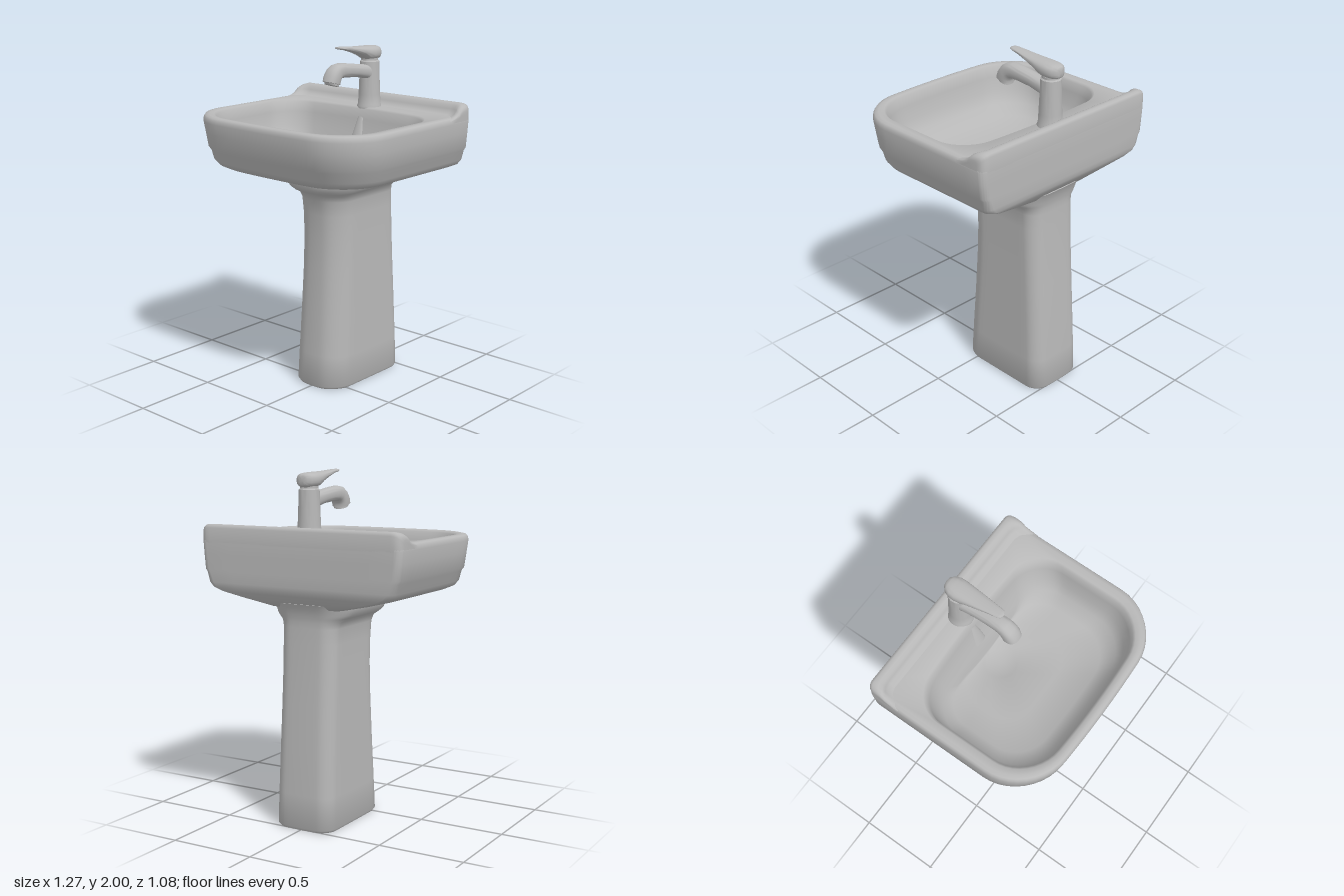
import * as THREE from 'three';
import { toCreasedNormals } from 'three/addons/utils/BufferGeometryUtils.js';

// Skin closed rings of equal length, with both ends capped
function loft(rings, crease = 1) {
  const n = rings[0].length, pos = [], idx = [];
  rings.forEach(r => r.forEach(p => pos.push(...p)));
  for (let i = 0; i < rings.length - 1; i++) {
    for (let j = 0; j < n; j++) {
      const a = i * n + j, b = i * n + (j + 1) % n;
      idx.push(a, b, b + n, a, b + n, a + n);
    }
  }
  [0, rings.length - 1].forEach((k, end) => {
    const c = pos.length / 3;
    pos.push(...[0, 1, 2].map(d => rings[k].reduce((s, p) => s + p[d], 0) / n));
    for (let j = 0; j < n; j++) {
      const a = k * n + j, b = k * n + (j + 1) % n;
      if (end) idx.push(c, a, b); else idx.push(c, b, a);
    }
  });
  const g = new THREE.BufferGeometry();
  g.setAttribute('position', new THREE.Float32BufferAttribute(pos, 3));
  g.setIndex(idx);
  return toCreasedNormals(g, crease);
}

// Level rounded rectangle with separate back and front radii and bowed ends
function slab([w, zb, zf, y, rb, rf, bowF = 0, bowB = 0]) {
  const corners = [[1, zb, rb], [-1, zb, rb], [-1, zf, rf], [1, zf, rf]];
  const arcs = corners.map(([sx, z, r], q) => {
    const cx = sx * (w - r), cz = q < 2 ? z + r : z - r, arc = [];
    for (let i = 0; i <= 10; i++) {
      const a = (q + i / 10) * Math.PI / 2;
      arc.push([cx + r * Math.cos(a), y, cz - r * Math.sin(a)]);
    }
    return arc;
  });
  const pts = [];
  arcs.forEach((arc, q) => {
    const p = arc[10], e = arcs[(q + 1) % 4][0];
    pts.push(...arc);
    for (let i = 1; i < 8; i++) {
      pts.push([p[0] + (e[0] - p[0]) * i / 8, y, p[2] + (e[2] - p[2]) * i / 8]);
    }
  });
  const mid = (zb + zf) / 2, half = (zf - zb) / 2;
  return pts.map(([x, h, z]) => {
    const t = (z - mid) / half, k = (x / w) ** 2 * Math.abs(t);
    return [x, h, z + (t > 0 ? -bowF * k : bowB * k)];
  });
}

// Squarish oval section given by its top and bottom points and half width
function oval([zt, yt, zb, yb, w]) {
  const soft = v => Math.sign(v) * Math.abs(v) ** 0.8;
  return Array.from({ length: 28 }, (_, i) => {
    const a = i / 28 * Math.PI * 2, s = soft(Math.sin(a)) / 2;
    return [w * soft(Math.cos(a)), (yt + yb) / 2 + s * (yt - yb), (zt + zb) / 2 + s * (zt - zb)];
  });
}

export function createModel() {
  const group = new THREE.Group();
  const ceramic = new THREE.MeshStandardMaterial({ color: 0xb8b8b8 });
  ceramic.name = 'greyCeramic';
  const add = (name, geometry, parent = group) => {
    const m = new THREE.Mesh(geometry, ceramic);
    m.name = name;
    parent.add(m);
    return m;
  };

  // Pedestal, flared at the foot and under the basin
  add('pedestal', loft([
    [0.176, -0.508, 0.117, 0, 0.08, 0.12, 0.035, 0.01],
    [0.185, -0.517, 0.126, 0.015, 0.08, 0.12, 0.035, 0.01],
    [0.182, -0.51, 0.115, 0.2, 0.08, 0.12, 0.035, 0.01],
    [0.178, -0.497, 0.098, 0.45, 0.08, 0.12, 0.035, 0.01],
    [0.175, -0.482, 0.083, 0.7, 0.08, 0.12, 0.035, 0.01],
    [0.174, -0.47, 0.076, 0.9, 0.08, 0.12, 0.035, 0.01],
    [0.174, -0.464, 0.082, 1.05, 0.08, 0.12, 0.035, 0.01],
    [0.175, -0.46, 0.093, 1.14, 0.08, 0.12, 0.035, 0.01],
    [0.185, -0.46, 0.11, 1.175, 0.09, 0.13, 0.035, 0.01],
    [0.21, -0.463, 0.145, 1.195, 0.11, 0.15, 0.035, 0.01],
    [0.23, -0.467, 0.17, 1.215, 0.13, 0.17, 0.03, 0.01],
    [0.24, -0.477, 0.182, 1.25, 0.14, 0.18, 0.03, 0.01],
    [0.24, -0.49, 0.182, 1.275, 0.14, 0.18, 0.03, 0.01],
  ].map(slab)));

  // Basin: underside, outer wall, rim, bowl and drain well in one skin
  add('basin', loft([
    [0.23, -0.46, 0.17, 1.25, 0.05, 0.15, 0.03],
    [0.4, -0.492, 0.32, 1.287, 0.05, 0.2, 0.03],
    [0.53, -0.522, 0.42, 1.32, 0.05, 0.25, 0.03],
    [0.58, -0.534, 0.462, 1.342, 0.05, 0.27, 0.03],
    [0.6, -0.538, 0.483, 1.37, 0.045, 0.28, 0.03],
    [0.612, -0.54, 0.498, 1.425, 0.04, 0.29, 0.03],
    [0.624, -0.54, 0.512, 1.443, 0.04, 0.3, 0.03],
    [0.632, -0.54, 0.525, 1.53, 0.04, 0.3, 0.03],
    [0.637, -0.54, 0.536, 1.595, 0.04, 0.3, 0.03],
    [0.634, -0.538, 0.533, 1.615, 0.04, 0.3, 0.03],
    [0.625, -0.53, 0.525, 1.627, 0.04, 0.29, 0.03],
    [0.605, -0.51, 0.51, 1.631, 0.06, 0.28, 0.03],
    [0.568, -0.34, 0.487, 1.629, 0.19, 0.25, 0.03, 0.03],
    [0.555, -0.329, 0.474, 1.618, 0.19, 0.24, 0.03, 0.03],
    [0.547, -0.318, 0.463, 1.56, 0.19, 0.24, 0.03, 0.03],
    [0.53, -0.295, 0.442, 1.48, 0.19, 0.24, 0.03, 0.03],
    [0.5, -0.268, 0.408, 1.41, 0.18, 0.23, 0.02, 0.03],
    [0.43, -0.248, 0.34, 1.36, 0.17, 0.2, 0.02, 0.02],
    [0.28, -0.24, 0.16, 1.325, 0.14, 0.16],
    [0.1, -0.235, -0.035, 1.312, 0.099, 0.099],
    [0.085, -0.22, -0.05, 1.304, 0.084, 0.084],
  ].map(slab)));

  // Overflow bulge below the tap
  const overflow = add('overflow', new THREE.CylinderGeometry(0.018, 0.045, 0.15, 32));
  overflow.scale.z = 0.4;
  overflow.rotation.x = -0.27;
  overflow.position.set(0, 1.5, -0.303);

  // Raised back ledge, sweeping forward at both ends: [x, forward sweep, drop, back inset]
  const ends = [[0.3, 0, 0, 0], [0.54, 0, 0, 0], [0.575, 0.01, 0, 0], [0.597, 0.032, 0.002, 0],
    [0.612, 0.05, 0.007, 0.004], [0.625, 0.058, 0.016, 0.012], [0.633, 0.06, 0.027, 0.025],
    [0.636, 0.06, 0.04, 0.042]];
  const stations = [...ends.map(([x, ...s]) => [-x, ...s]).reverse(), ...ends];
  add('backLedge', loft(stations.map(([x, s, d, b]) => [
    [-0.54 + b, 1.59], [-0.54 + b, 1.675 - d], [-0.534 + b, 1.69 - d], [-0.52 + b, 1.696 - d],
    [-0.497 + s * 0.3 + b * 0.6, 1.694 - d], [-0.48 + s * 0.5 + b * 0.3, 1.684 - d],
    [-0.47 + s * 0.7, 1.662 - d * 0.7], [-0.46 + s, 1.643 - d * 0.4],
    [-0.44 + s * 1.2, 1.633 - d * 0.3], [-0.42 + s * 1.3, 1.627 - d * 0.3], [-0.42 + s, 1.59],
  ].map(([z, y]) => [x, y, z]))));

  // Mixer tap
  const tap = new THREE.Group();
  tap.name = 'tap';
  group.add(tap);
  const body = new THREE.LatheGeometry([
    [0, 1.62], [0.072, 1.62], [0.072, 1.634], [0.067, 1.645], [0.064, 1.7], [0.06, 1.8],
    [0.057, 1.895], [0.05, 1.902], [0.05, 1.915], [0, 1.915],
  ].map(p => new THREE.Vector2(...p)), 36);
  add('tapBody', toCreasedNormals(body, 0.6), tap).position.z = -0.4;

  // Spout, bending down to an angled mouth
  add('tapSpout', loft([
    [-0.4, 1.878, -0.4, 1.775, 0.05],
    [-0.34, 1.881, -0.34, 1.8, 0.046],
    [-0.27, 1.89, -0.27, 1.814, 0.043],
    [-0.19, 1.901, -0.19, 1.82, 0.043],
    [-0.125, 1.907, -0.14, 1.822, 0.045],
    [-0.085, 1.902, -0.12, 1.82, 0.047],
    [-0.05, 1.88, -0.11, 1.81, 0.049],
    [-0.025, 1.845, -0.106, 1.798, 0.05],
    [-0.013, 1.813, -0.106, 1.786, 0.048],
    [-0.022, 1.809, -0.099, 1.787, 0.04],
    [-0.026, 1.797, -0.099, 1.775, 0.039],
  ].map(oval), 0.6), tap);

  // Lever handle, a blunt cap drawn out into a thin tongue
  add('tapLever', loft([
    [-0.47, 1.967, -0.47, 1.922, 0.018],
    [-0.465, 1.976, -0.465, 1.914, 0.032],
    [-0.447, 1.983, -0.447, 1.907, 0.05],
    [-0.42, 1.986, -0.42, 1.905, 0.06],
    [-0.385, 1.988, -0.385, 1.905, 0.062],
    [-0.35, 1.989, -0.35, 1.912, 0.058],
    [-0.31, 1.99, -0.31, 1.933, 0.052],
    [-0.25, 1.992, -0.25, 1.955, 0.044],
    [-0.18, 1.997, -0.18, 1.975, 0.034],
    [-0.13, 2, -0.13, 1.984, 0.028],
    [-0.116, 2, -0.116, 1.987, 0.022],
    [-0.109, 1.998, -0.109, 1.99, 0.01],
  ].map(oval)), tap);

  return group;
}
